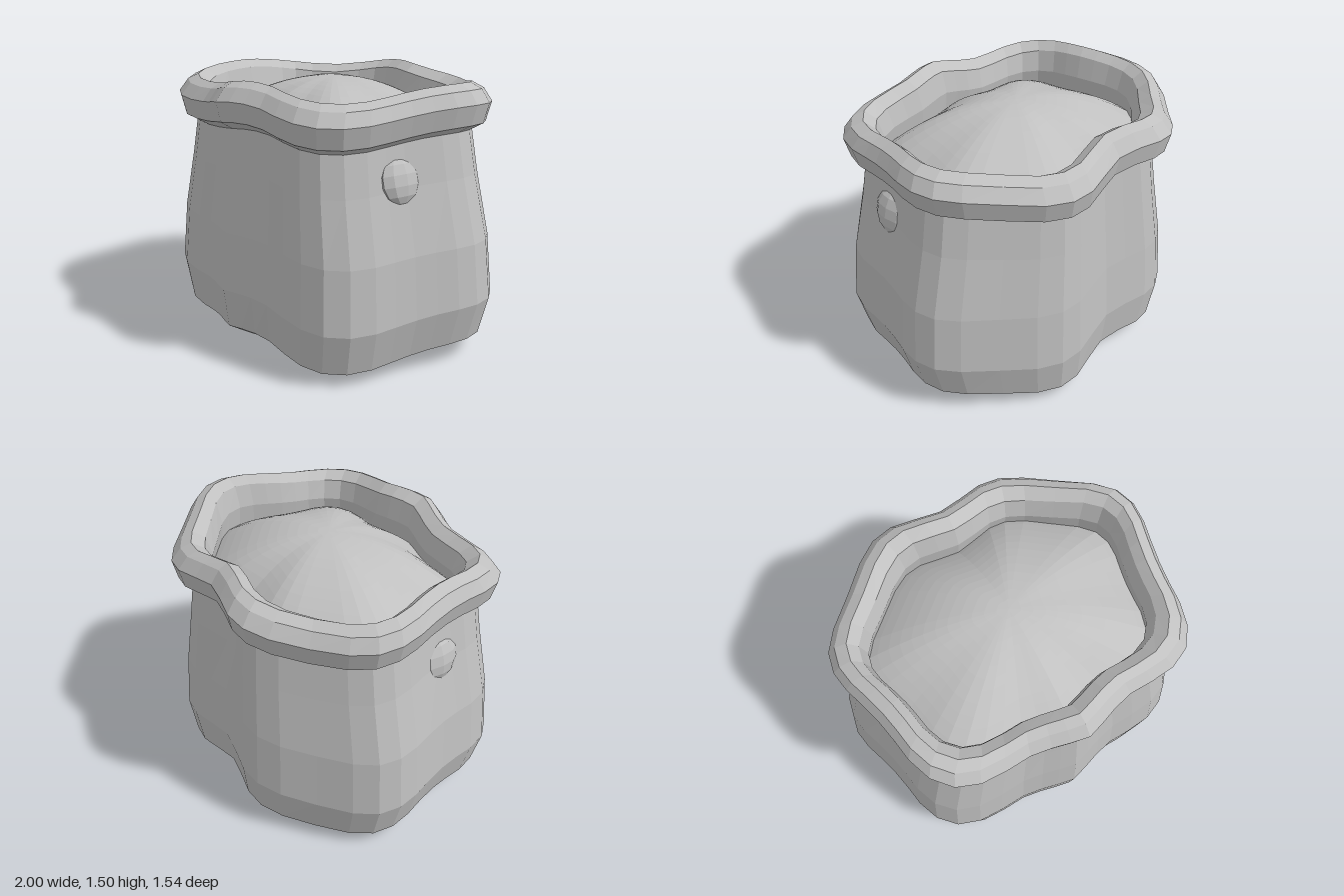
import * as THREE from 'three';

// Half of the five-lobed plan outline [x, z], from front centre to back centre
const HALF = [
  [0, 0.77], [0.1, 0.745], [0.2, 0.715], [0.32, 0.69], [0.47, 0.69], [0.62, 0.68], [0.75, 0.63],
  [0.84, 0.53], [0.885, 0.4], [0.9, 0.28], [0.92, 0.16], [0.95, 0.04], [0.985, -0.08],
  [1.0, -0.2], [0.97, -0.32], [0.88, -0.43], [0.72, -0.56], [0.56, -0.69], [0.43, -0.76],
  [0.3, -0.775], [0.15, -0.745], [0, -0.72],
];
const OUTLINE = [...HALF, ...HALF.slice(1, -1).reverse().map(([x, z]) => [-x, z])];

// Four gentle waves run round the sack
const wave = (x, z) => Math.cos(4 * (Math.atan2(x, z) - 0.2));

// Skin a stack of rings; each ring is [xScale, zScale, y, waveHeight]
function loft(rings) {
  const n = OUTLINE.length, pos = [], index = [];
  for (const [sx, sz, y, amp] of rings) {
    for (const [x, z] of OUTLINE) pos.push(x * sx, y + amp * wave(x, z), z * sz);
  }
  for (let r = 0; r < rings.length - 1; r++) {
    for (let i = 0; i < n; i++) {
      const j = (i + 1) % n, a = r * n + i, b = r * n + j;
      if (rings[r][0] > 0) index.push(a, b, b + n);
      if (rings[r + 1][0] > 0) index.push(a, b + n, a + n);
    }
  }
  // A ring of zero size closes to a point
  const g = new THREE.BufferGeometry();
  g.setAttribute('position', new THREE.Float32BufferAttribute(pos, 3));
  g.setIndex(index);
  g.computeVertexNormals();
  return g;
}

export function createModel() {
  const group = new THREE.Group();
  const cloth = new THREE.MeshStandardMaterial({ color: 0xc0c0c0, flatShading: true });
  cloth.name = 'grey cloth';
  const add = (name, geometry) => {
    const mesh = new THREE.Mesh(geometry, cloth);
    mesh.name = name;
    group.add(mesh);
    return mesh;
  };

  // Bulging body with a closed bottom
  add('sackBody', loft([
    [0, 0, 0.023, 0],
    [0.79, 0.8, 0.023, 0.023],
    [0.94, 0.965, 0.1, 0.027],
    [1, 1, 0.325, 0.024],
    [0.965, 0.965, 0.66, 0.016],
    [0.875, 0.915, 1.0, 0.02],
    [0.83, 0.88, 1.23, 0.025],
  ]));

  // Rolled rim with its inner wall
  add('rolledRim', loft([
    [0.82, 0.87, 1.22, 0.027],
    [0.9, 0.97, 1.265, 0.03],
    [0.93, 1, 1.375, 0.03],
    [0.89, 0.93, 1.445, 0.03],
    [0.825, 0.86, 1.475, 0.03],
    [0.775, 0.77, 1.43, 0.03],
    [0.745, 0.73, 1.31, 0.02],
    [0.76, 0.76, 1.14, 0],
  ]));

  // Domed contents, edge to crown
  const dome = [];
  for (let i = 0; i <= 12; i++) {
    const t = 1 - i / 12;
    dome.push([0.77 * t, 0.77 * t, 1.2 + 0.275 * (1 - t * t), 0]);
  }
  add('contents', loft(dome));

  // Shallow round knob on each side
  for (const s of [-1, 1]) {
    const knob = add(s > 0 ? 'leftKnob' : 'rightKnob', new THREE.SphereGeometry(0.13, 10, 7));
    knob.position.set(s * 0.765, 1.04, 0.165);
    knob.scale.x = 0.5;
    knob.rotation.z = s * 0.25;
  }

  return group;
}
